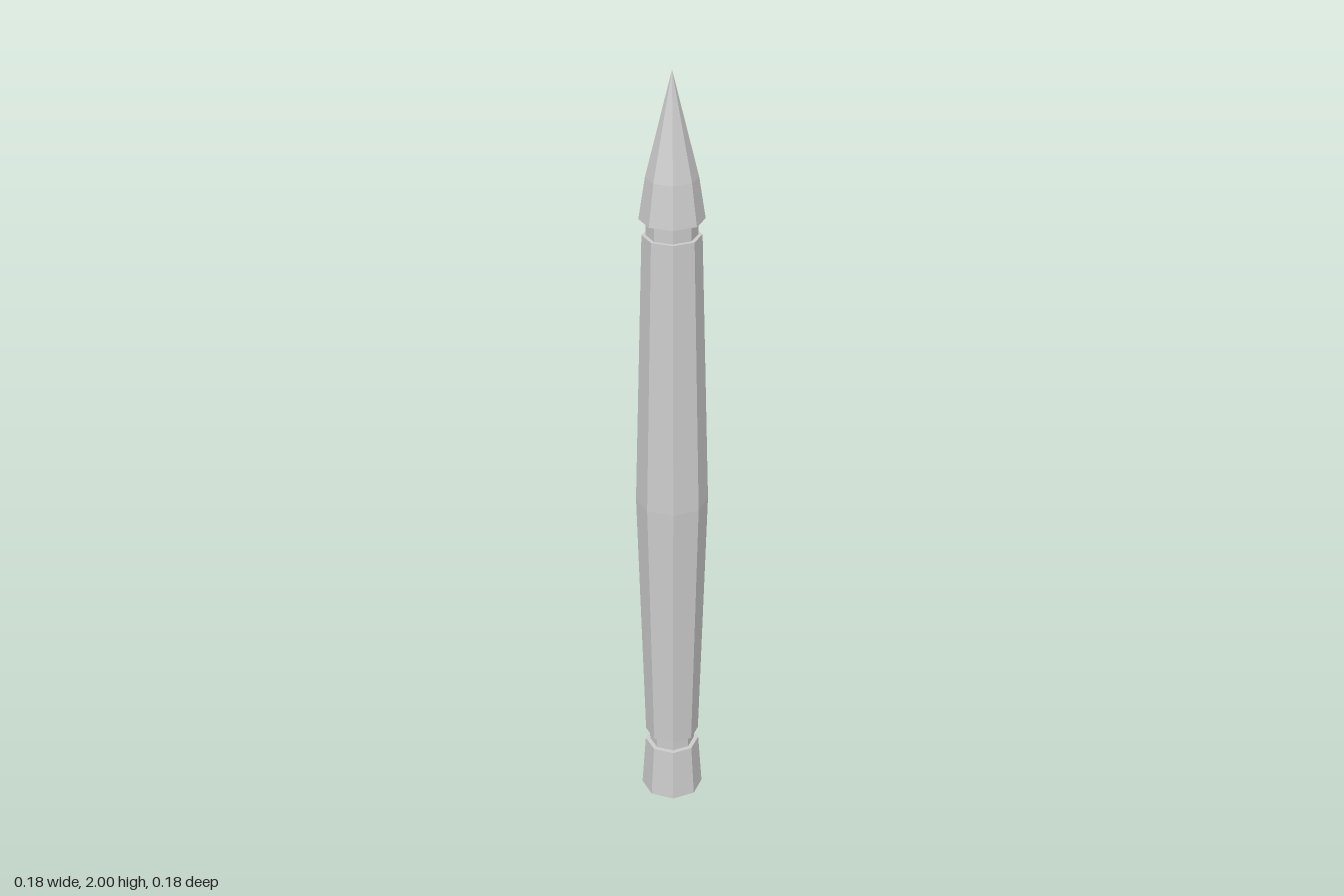
import * as THREE from 'three';

const SIDES = 8;

export function createModel() {
  const group = new THREE.Group();
  const material = new THREE.MeshStandardMaterial({ color: 0xcccccc, flatShading: true });

  // Octagonal turned section; profile is [radius, y] from bottom to top
  const addSection = (name, profile) => {
    const points = profile.map(([r, y]) => new THREE.Vector2(r, y));
    const mesh = new THREE.Mesh(new THREE.LatheGeometry(points, SIDES), material);
    mesh.name = name;
    group.add(mesh);
  };

  // Flared foot with closed underside
  addSection('foot', [[0, 0], [0.081, 0], [0.071, 0.145], [0, 0.145]]);
  // Recessed neck between foot and shaft
  addSection('lowerNeck', [[0.059, 0.145], [0.059, 0.178]]);
  // Long shaft, widest at the middle
  addSection('shaft', [[0, 0.178], [0.07, 0.178], [0.091, 0.89], [0.072, 1.602], [0, 1.602]]);
  // Recessed neck below the point
  addSection('upperNeck', [[0.062, 1.602], [0.062, 1.642]]);
  // Slightly bulged point
  addSection('point', [[0, 1.642], [0.079, 1.642], [0.063, 1.745], [0, 2]]);

  return group;
}
